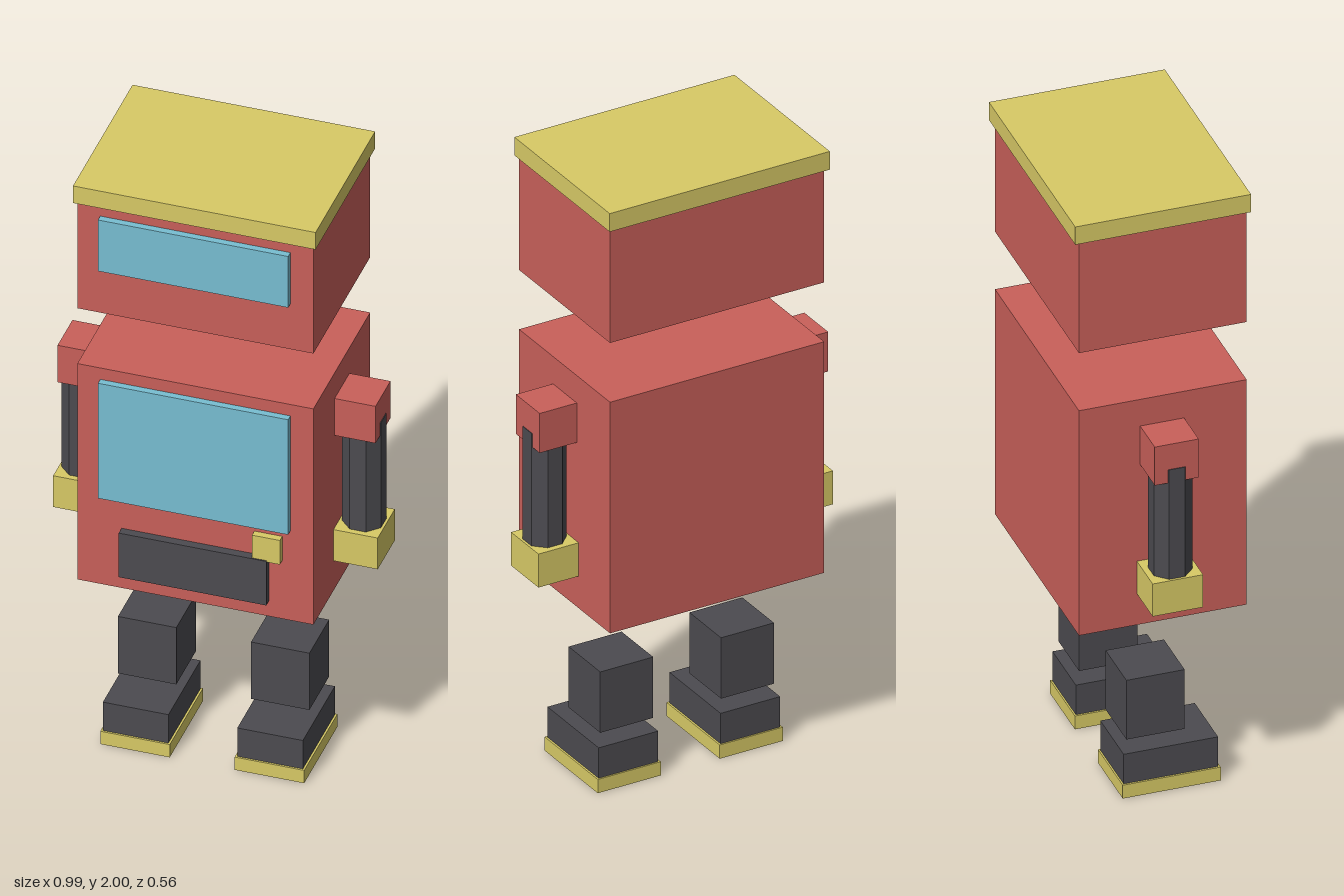
import * as THREE from 'three';

const paint = (color) => new THREE.MeshStandardMaterial({ color, flatShading: true });

export function createModel() {
  const model = new THREE.Group();
  model.name = 'boxRobot';
  const red = paint(0xc9605a);
  const yellow = paint(0xd8ca66);
  const blue = paint(0x78bed2);
  const dark = paint(0x4c4b50);

  // Box given by its limits on each axis
  function block(parent, name, material, [x0, x1], [y0, y1], [z0, z1]) {
    const mesh = new THREE.Mesh(new THREE.BoxGeometry(x1 - x0, y1 - y0, z1 - z0), material);
    mesh.position.set((x0 + x1) / 2, (y0 + y1) / 2, (z0 + z1) / 2);
    mesh.name = name;
    parent.add(mesh);
    return mesh;
  }

  // Head with flat cap and visor
  const head = new THREE.Group();
  head.name = 'head';
  model.add(head);
  block(head, 'skull', red, [-0.36, 0.36], [1.565, 1.94], [-0.265, 0.25]);
  block(head, 'cap', yellow, [-0.37, 0.37], [1.94, 2], [-0.28, 0.26]);
  block(head, 'visor', blue, [-0.29, 0.29], [1.725, 1.905], [0.24, 0.271]);

  // Torso with chest window, inner ledge, grille and button
  const torso = new THREE.Group();
  torso.name = 'torso';
  model.add(torso);
  block(torso, 'body', red, [-0.36, 0.36], [0.61, 1.37], [-0.265, 0.25]);
  block(torso, 'chestWindow', blue, [-0.29, 0.29], [0.925, 1.33], [0.24, 0.271]);
  block(torso, 'windowLedge', yellow, [-0.27, 0.27], [0.93, 0.995], [0.24, 0.269]);
  block(torso, 'grille', dark, [-0.225, 0.225], [0.665, 0.82], [0.24, 0.276]);
  block(torso, 'button', yellow, [0.18, 0.265], [0.815, 0.9], [0.24, 0.272]);

  for (const side of [-1, 1]) {
    const prefix = side > 0 ? 'left' : 'right';
    const span = (centre, half) => [side * centre - half, side * centre + half];

    // Arm: shoulder block, octagonal forearm, hand block
    const arm = new THREE.Group();
    arm.name = prefix + 'Arm';
    model.add(arm);
    block(arm, 'shoulder', red, span(0.4225, 0.0625), [1.15, 1.28], [-0.077, 0.058]);
    block(arm, 'hand', yellow, span(0.4275, 0.0675), [0.715, 0.825], [-0.087, 0.068]);
    const forearm = new THREE.Mesh(new THREE.CylinderGeometry(0.064, 0.064, 0.39, 8), dark);
    forearm.name = 'forearm';
    forearm.rotation.y = Math.PI / 8;
    forearm.position.set(side * 0.428, 1.0, -0.009);
    arm.add(forearm);

    // Leg: shin, boot and sole
    const leg = new THREE.Group();
    leg.name = prefix + 'Leg';
    model.add(leg);
    block(leg, 'shin', dark, span(0.203, 0.089), [0.185, 0.385], [-0.095, 0.084]);
    block(leg, 'boot', dark, span(0.205, 0.1), [0.045, 0.145], [-0.108, 0.182]);
    block(leg, 'sole', yellow, span(0.205, 0.106), [0, 0.045], [-0.113, 0.188]);
  }
  return model;
}
